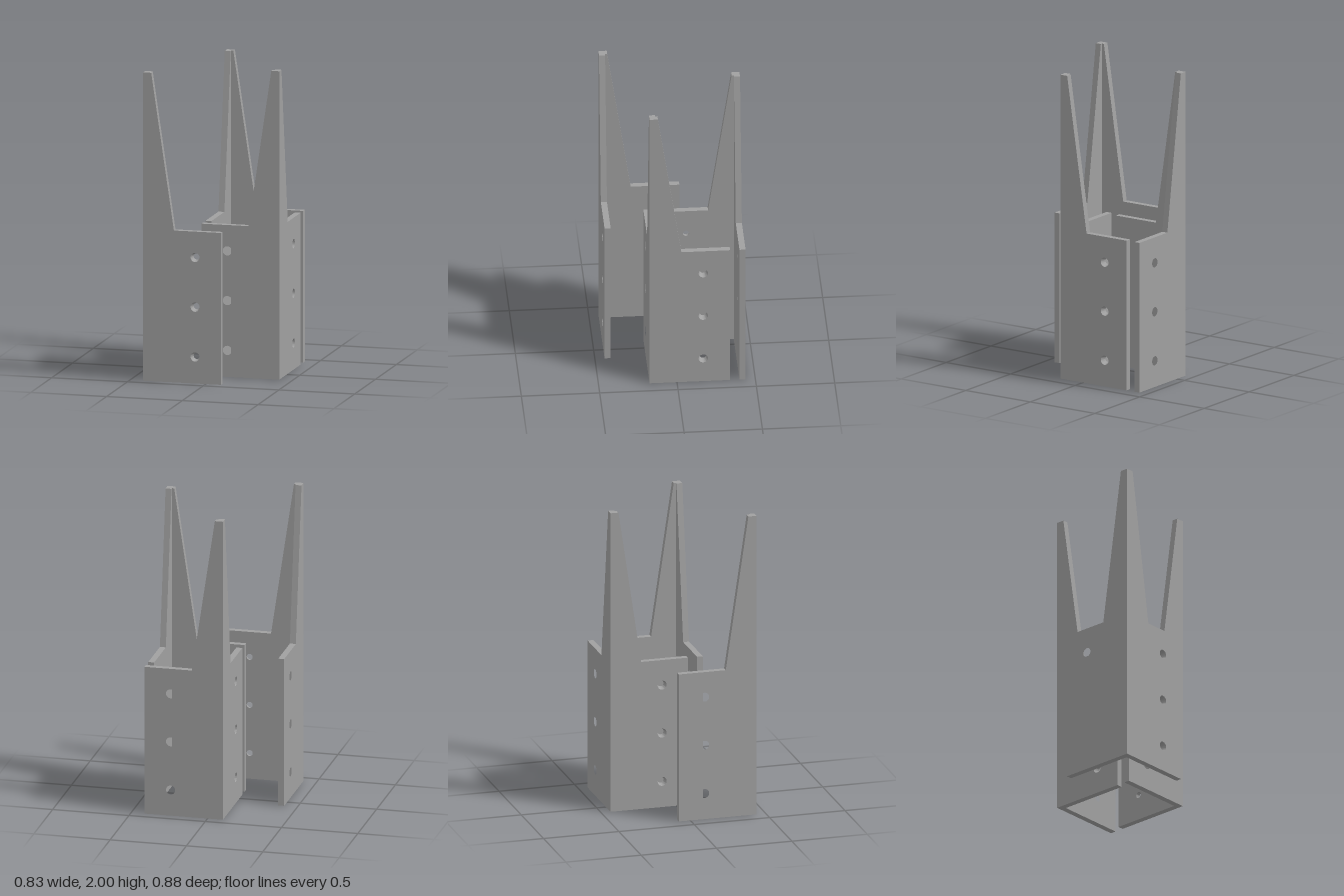
import * as THREE from 'three';
import { toCreasedNormals } from 'three/addons/utils/BufferGeometryUtils.js';

const T = 0.039;                      // plate thickness
const WIDTH = 0.514, SHOULDER = 0.985, HEIGHT = 2;
const HOLE = { u: 0.343, ys: [0.172, 0.495, 0.817], outer: 0.03, inner: 0.02 };

// Plate with a tapering spike at the corner edge and three countersunk holes.
// u runs away from the corner along dir * x; the outer face lies at z = 0.
function plateGeometry(dir, start) {
  const shape = new THREE.Shape([
    [start, 0], [WIDTH, 0], [WIDTH, SHOULDER], [0.203, SHOULDER], [0.053, HEIGHT], [start, HEIGHT],
  ].map(([u, y]) => new THREE.Vector2(dir * u, y)));
  for (const y of HOLE.ys) {
    shape.holes.push(new THREE.Path().absarc(dir * HOLE.u, y, HOLE.outer, 0, Math.PI * 2, true));
  }
  const geo = new THREE.ExtrudeGeometry(shape, { depth: T, bevelEnabled: false, curveSegments: 24 });
  geo.translate(0, 0, -T);

  // Narrow each hole towards the inner face
  const p = geo.attributes.position, k = HOLE.inner / HOLE.outer;
  for (let i = 0; i < p.count; i++) {
    if (p.getZ(i) > -T / 2) continue;
    for (const y of HOLE.ys) {
      const dx = p.getX(i) - dir * HOLE.u, dy = p.getY(i) - y;
      if (Math.hypot(dx, dy) < HOLE.outer * 1.1) {
        p.setXY(i, dir * HOLE.u + dx * k, y + dy * k);
        break;
      }
    }
  }
  geo.computeVertexNormals();
  return toCreasedNormals(geo, 0.5);
}

export function createModel() {
  const model = new THREE.Group();
  model.name = 'cornerBrackets';
  const steel = new THREE.MeshStandardMaterial({ color: 0xa0a0a0 });
  steel.name = 'grey steel';

  // The two plates of one L-shaped bracket
  const facePlate = plateGeometry(1, 0);
  const sidePlate = plateGeometry(-1, T).rotateY(-Math.PI / 2);

  // Outer corner position and turn of each bracket
  const brackets = [
    ['frontBracket', -0.413, 0.438, 0],
    ['middleBracket', 0.413, 0.175, Math.PI / 2],
    ['rearBracket', -0.101, -0.438, -Math.PI / 2],
  ];
  for (const [name, x, z, turn] of brackets) {
    const bracket = new THREE.Group();
    bracket.name = name;
    for (const [part, geo] of [['facePlate', facePlate], ['sidePlate', sidePlate]]) {
      const mesh = new THREE.Mesh(geo, steel);
      mesh.name = part;
      bracket.add(mesh);
    }
    bracket.position.set(x, 0, z);
    bracket.rotation.y = turn;
    model.add(bracket);
  }
  return model;
}
